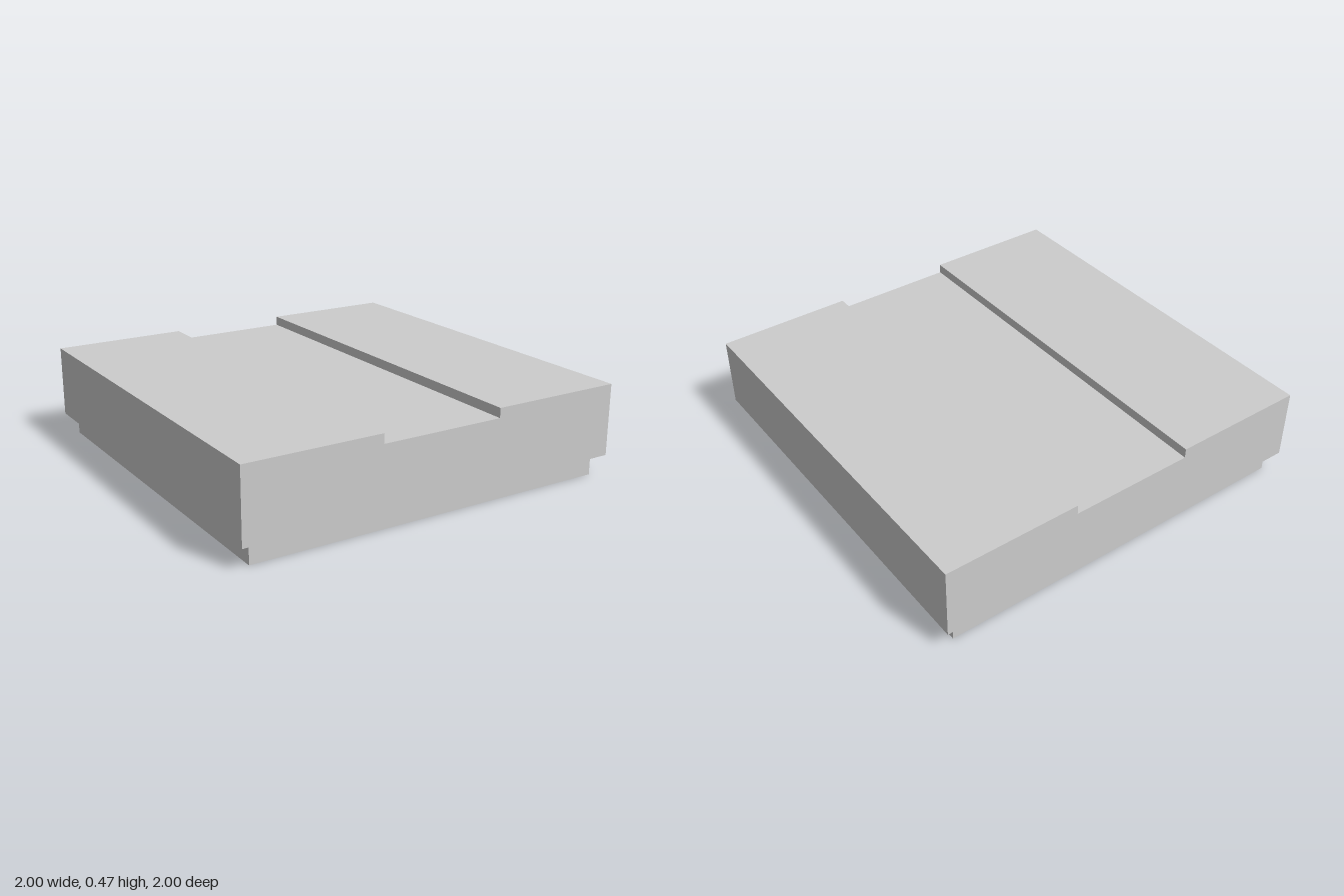
import * as THREE from 'three';

const HALF = 1, LEDGE = 0.105, TOP = 0.466, GROOVE_Y = 0.418, GROOVE_X = 0.315;
const PLINTH = 0.953;

// Drops the triangles lying flat on height y, leaving the shell open there
function openAt(geometry, y) {
  const p = geometry.attributes.position;
  const kept = [];
  for (let i = 0; i < p.count; i += 3) {
    const flat = [0, 1, 2].every((k) => Math.abs(p.getY(i + k) - y) < 1e-5);
    if (!flat) for (let k = 0; k < 3; k++) kept.push(p.getX(i + k), p.getY(i + k), p.getZ(i + k));
  }
  const open = new THREE.BufferGeometry();
  open.setAttribute('position', new THREE.Float32BufferAttribute(kept, 3));
  open.computeVertexNormals();
  return open;
}

export function createModel() {
  const group = new THREE.Group();
  group.name = 'groovedBlock';

  // Cover: a shell open underneath, with a shallow groove running front to back
  const profile = new THREE.Shape([
    [-HALF, LEDGE], [HALF, LEDGE], [HALF, TOP], [GROOVE_X, TOP],
    [GROOVE_X, GROOVE_Y], [-GROOVE_X, GROOVE_Y], [-GROOVE_X, TOP], [-HALF, TOP],
  ].map(([x, y]) => new THREE.Vector2(x, y)));
  const shell = new THREE.ExtrudeGeometry(profile, { depth: 2 * HALF, bevelEnabled: false });
  shell.translate(0, 0, -HALF);
  const cover = new THREE.Mesh(
    openAt(shell, LEDGE),
    new THREE.MeshStandardMaterial({ color: 0xcccccc, flatShading: true, side: THREE.DoubleSide }),
  );
  cover.name = 'groovedCover';
  group.add(cover);

  // Plinth: inset on all sides, its walls rising inside the cover
  const height = GROOVE_Y - 0.01;
  const plinth = new THREE.Mesh(
    new THREE.BoxGeometry(2 * (PLINTH - 0.008), height, 2 * PLINTH),
    new THREE.MeshStandardMaterial({ color: 0xcccccc, flatShading: true }),
  );
  plinth.name = 'plinth';
  plinth.position.y = height / 2;
  group.add(plinth);

  return group;
}
